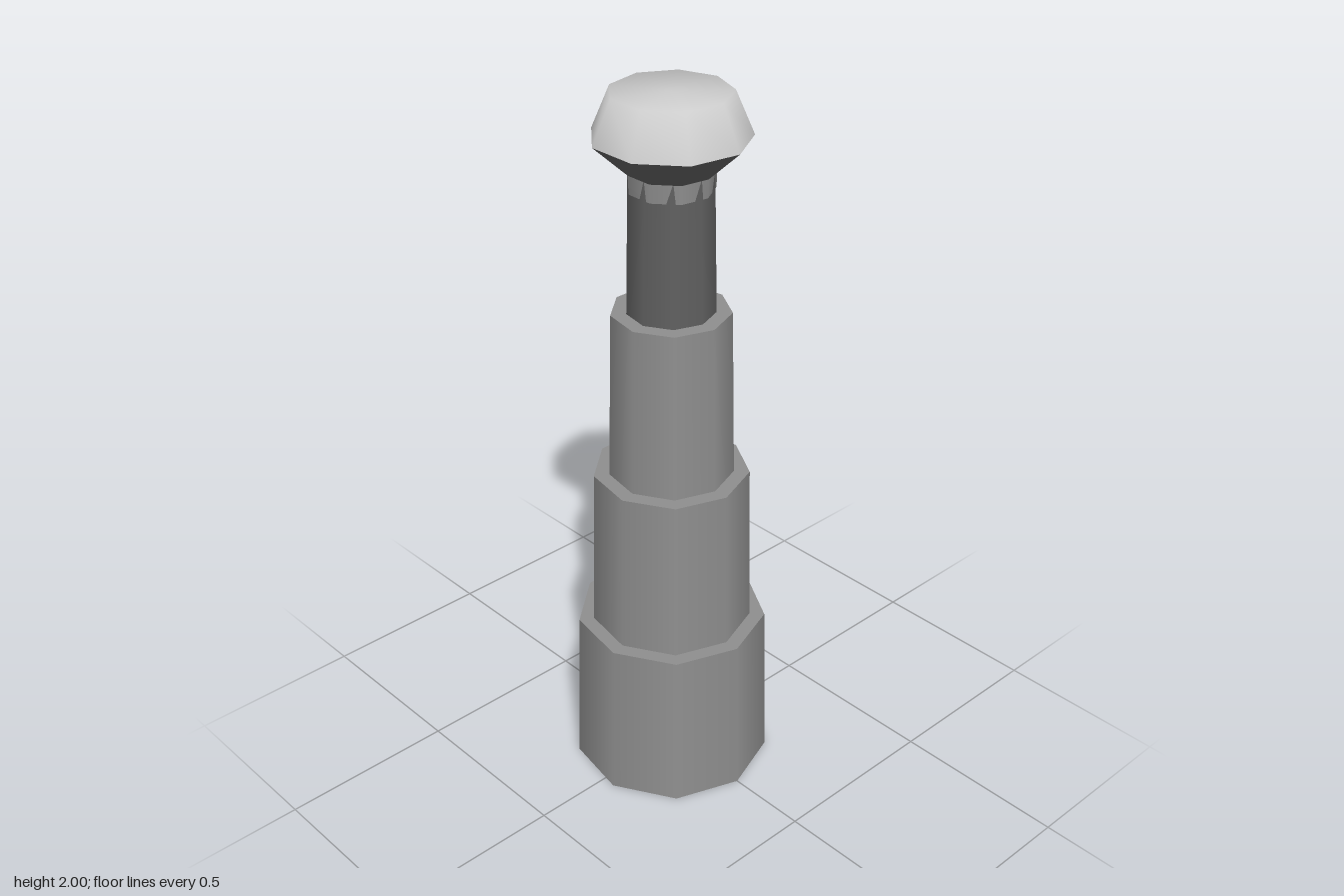
import * as THREE from 'three';

const SIDES = 9;
const grey = (color) => new THREE.MeshStandardMaterial({ color });

export function createModel() {
  const model = new THREE.Group();
  model.name = 'spyglass';
  const metal = grey(0x8e8e8e);
  const darkMetal = grey(0x606060);
  const lightMetal = grey(0xc0c0c0);

  const add = (name, geometry, material, y = 0) => {
    const part = new THREE.Mesh(geometry, material);
    part.name = name;
    part.position.set(-0.009, y, 0); // centres the nine-sided footprint on x
    model.add(part);
  };

  // Stacked tapering tubes: [name, bottom y, top y, bottom radius, top radius, material]
  const tubes = [
    ['baseTube', 0, 0.47, 0.279, 0.266, metal],
    ['lowerTube', 0.47, 0.94, 0.224, 0.214, metal],
    ['upperTube', 0.94, 1.415, 0.171, 0.16, metal],
    ['eyepieceTube', 1.415, 1.8, 0.118, 0.11, darkMetal],
  ];
  for (const [name, y0, y1, r0, r1, material] of tubes) {
    // One corner of each tube points to +x
    const geometry = new THREE.CylinderGeometry(r1, r0, y1 - y0, SIDES, 1, false, Math.PI / 2);
    add(name, geometry, material, (y0 + y1) / 2);
  }

  // Eyepiece rings, turned so a corner points to -z
  const lathe = (points) =>
    new THREE.LatheGeometry(points.map(([r, y]) => new THREE.Vector2(r, y)), SIDES, Math.PI);
  add('eyepieceCollar', lathe([[0.113, 1.75], [0.115, 1.8]]), metal);
  add('eyepieceFlare', lathe([[0.115, 1.8], [0.206, 1.885]]), darkMetal);
  add('eyepieceCap', lathe([[0.206, 1.885], [0.157, 2], [0, 2]]), lightMetal);
  return model;
}
